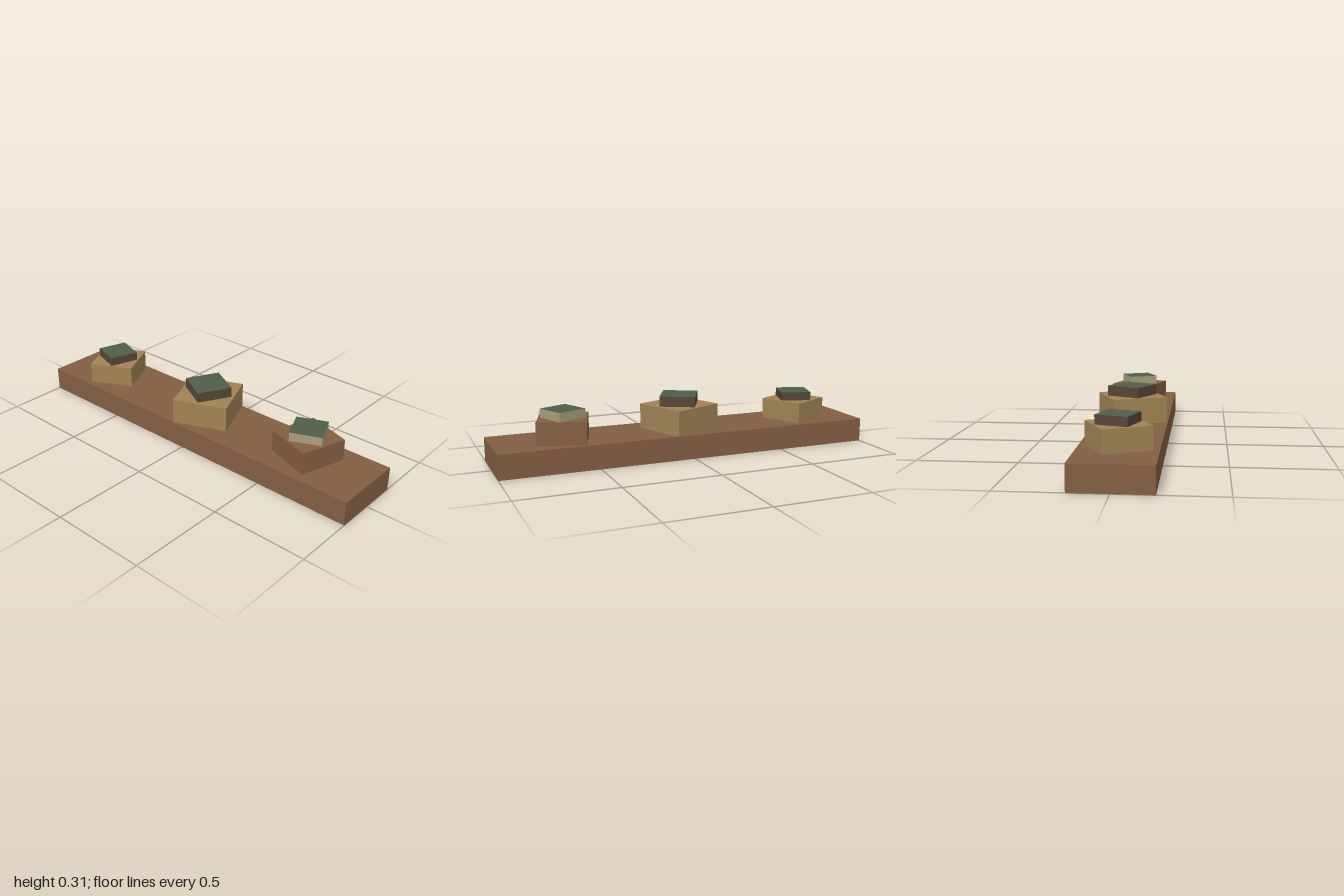
import * as THREE from 'three';

const flat = (name, color) => {
  const m = new THREE.MeshStandardMaterial({ color });
  m.name = name;
  return m;
};

// Box standing on y = 0 with no underside; group 0 = sides, group 1 = top
function openBox(w, h, d) {
  const g = new THREE.BoxGeometry(w, h, d).translate(0, h / 2, 0);
  const i = Array.from(g.index.array);
  g.setIndex([...i.slice(0, 12), ...i.slice(24), ...i.slice(12, 18)]);
  g.clearGroups();
  g.addGroup(0, 24, 0);
  g.addGroup(24, 6, 1);
  return g;
}

export function createModel() {
  const model = new THREE.Group();
  model.name = 'plankWithBlocks';

  const wood = flat('brownWood', 0x835e42);
  wood.side = THREE.DoubleSide; // the plank is a hollow shell
  const tan = flat('tan', 0xa08353);
  const green = flat('mossGreen', 0x4f5e4a);
  const dark = flat('darkBrown', 0x574638);
  const cream = flat('cream', 0xa89e79);

  const add = (name, w, h, d, x, y, z, degrees, side, top) => {
    const mesh = new THREE.Mesh(openBox(w, h, d), [side, top]);
    mesh.name = name;
    mesh.position.set(x, y, z);
    mesh.rotation.y = THREE.MathUtils.degToRad(degrees);
    model.add(mesh);
  };

  // Long base, open underneath
  const baseTop = 0.125;
  add('plank', 2, baseTop, 0.375, 0, 0, 0.0025, 0, wood, wood);

  // Turned square blocks, each with a smaller green-topped cap
  const stacks = [
    { name: 'right', x: -0.673, z: 0, size: 0.239, h: 0.11, turn: 26.5, mat: tan,
      cap: 0.159, capH: 0.045, capTurn: -17.5, capMat: dark },
    { name: 'middle', x: 0.016, z: -0.001, size: 0.287, h: 0.131, turn: 22.5, mat: tan,
      cap: 0.184, capH: 0.053, capTurn: -28, capMat: dark },
    { name: 'left', x: 0.643, z: -0.015, size: 0.245, h: 0.113, turn: -18, mat: wood,
      cap: 0.159, capH: 0.045, capTurn: 23.5, capMat: cream },
  ];
  for (const s of stacks) {
    add(s.name + 'Block', s.size, s.h, s.size, s.x, baseTop, s.z, s.turn, s.mat, s.mat);
    add(s.name + 'Cap', s.cap, s.capH, s.cap, s.x, baseTop + s.h, s.z, s.capTurn, s.capMat, green);
  }
  return model;
}
